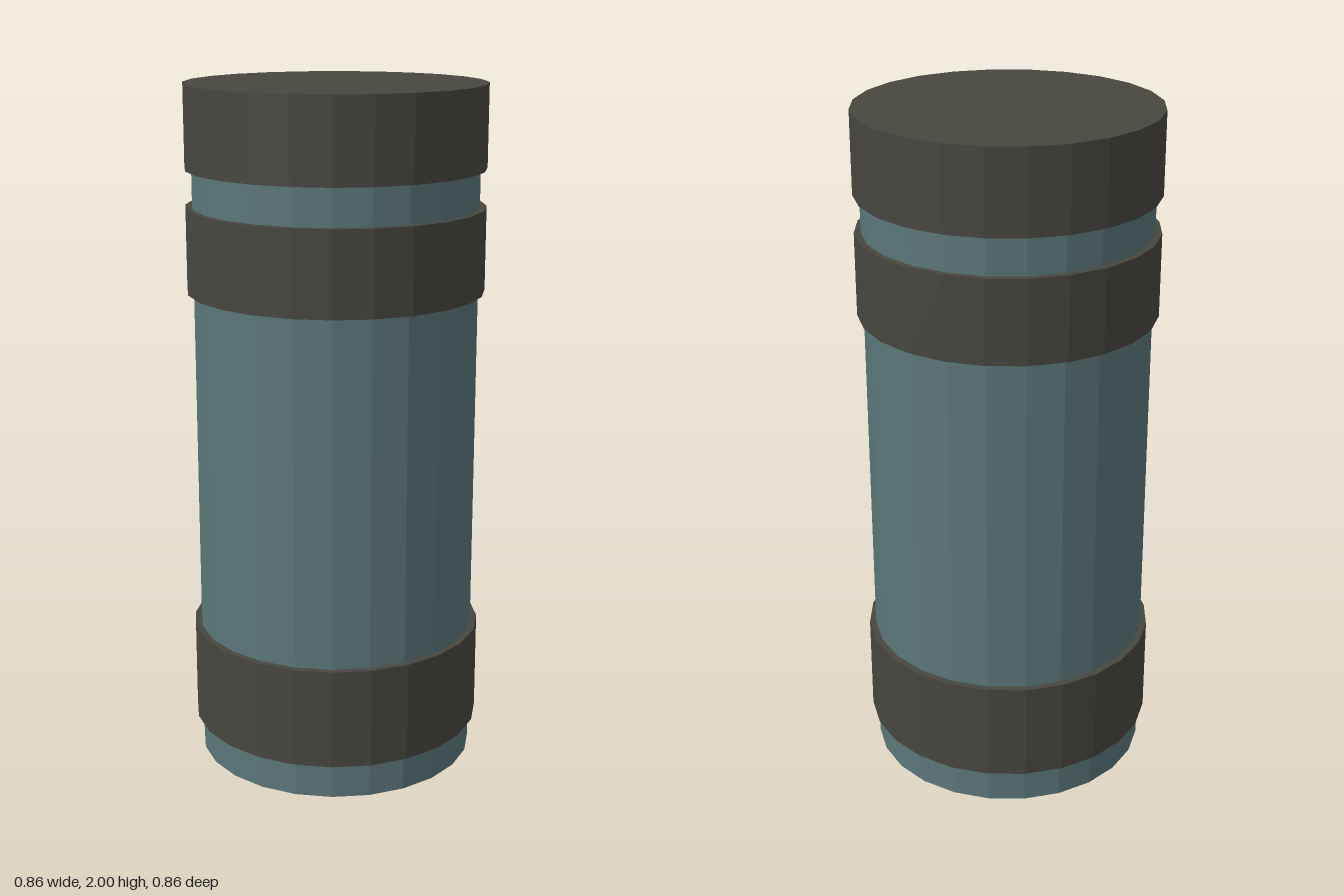
import * as THREE from 'three';

const SIDES = 24;

export function createModel() {
  const group = new THREE.Group();
  const bodyPaint = new THREE.MeshStandardMaterial({ color: 0x5c777a, flatShading: true });
  bodyPaint.name = 'greyTeal';
  const bandPaint = new THREE.MeshStandardMaterial({ color: 0x47463f, flatShading: true });
  bandPaint.name = 'darkGrey';

  // Upright faceted cylinder between two heights
  const addCylinder = (name, radius, bottom, top, material) => {
    const mesh = new THREE.Mesh(
      new THREE.CylinderGeometry(radius, radius, top - bottom, SIDES), material);
    mesh.position.y = (bottom + top) / 2;
    mesh.name = name;
    group.add(mesh);
  };

  // Main canister, ending inside the lid
  addCylinder('body', 0.411, 0, 1.9, bodyPaint);

  // Raised bands and lid
  addCylinder('lowerBand', 0.43, 0.105, 0.4, bandPaint);
  addCylinder('upperBand', 0.43, 1.413, 1.655, bandPaint);
  addCylinder('lid', 0.43, 1.763, 2, bandPaint);

  return group;
}
